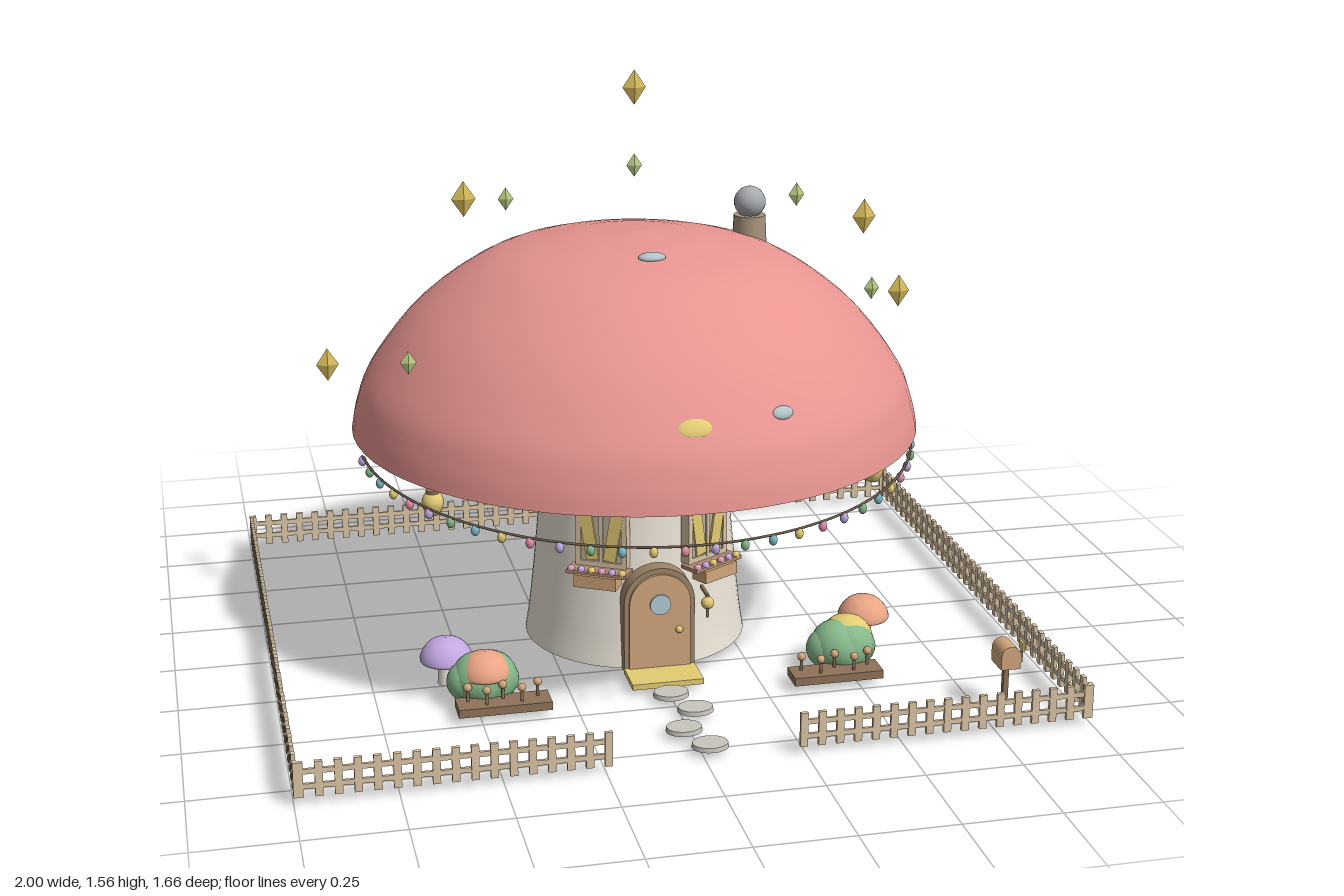
import * as THREE from 'three';

const mats = {};
const mat = (color) => (mats[color] ??= new THREE.MeshStandardMaterial({ color, side: THREE.DoubleSide }));
const WOOD = 0xd2a67c, PALE = 0xdcc6a6, CREAM = 0xece5d8, GOLD = 0xe3cc74, GREEN = 0x86b88a, ROSE = 0xe89591;
const ORANGE = 0xeaa585, LILAC = 0xc2a8e2, BROWN = 0x8f735a;

function add(parent, name, geo, color, x = 0, y = 0, z = 0) {
  const m = new THREE.Mesh(geo, mat(color));
  m.name = name;
  m.position.set(x, y, z);
  parent.add(m);
  return m;
}
function group(parent, name, x = 0, y = 0, z = 0, turn = 0) {
  const g = new THREE.Group();
  g.name = name;
  g.position.set(x, y, z);
  g.rotation.y = turn;
  parent.add(g);
  return g;
}
const box = (w, h, d) => new THREE.BoxGeometry(w, h, d);
const ball = (r) => new THREE.SphereGeometry(r, 20, 14);
const rod = (r, h, r2 = r) => new THREE.CylinderGeometry(r, r2, h, 20);
const lathe = (pts, seg = 64, smooth = 30) => new THREE.LatheGeometry(
  new THREE.SplineCurve(pts.map((p) => new THREE.Vector2(...p))).getPoints(smooth), seg);

// Upright slab with a round top, standing on y = 0
function arch(w, h, depth) {
  const r = w / 2, s = new THREE.Shape();
  s.moveTo(-r, 0);
  s.lineTo(r, 0);
  s.lineTo(r, h - r);
  s.absarc(0, h - r, r, 0, Math.PI, false);
  s.closePath();
  return new THREE.ExtrudeGeometry(s, { depth, bevelEnabled: false, curveSegments: 20 });
}

function addHouse(root) {
  add(root, 'stem', lathe([[0.3, 0.02], [0.288, 0.1], [0.272, 0.25], [0.258, 0.42], [0.256, 0.52], [0.264, 0.64]]), CREAM);
  add(root, 'roofCap', lathe([[0.755, 0.62], [0.74, 0.69], [0.7, 0.785], [0.575, 0.94], [0.39, 1.068],
    [0.2, 1.117], [0.1, 1.128], [0.001, 1.137]]), ROSE);
  const under = add(root, 'roofUnderside', new THREE.CircleGeometry(0.747, 64), CREAM, 0, 0.635, 0);
  under.rotation.x = Math.PI / 2;

  // Spots barely rising out of the cap
  [[0, 1.117, 0.21, 0.12, 0.036, 0xb4c4c8], [0.23, 0.82, 0.632, 0.95, 0.03, 0xb4c4c8], [0, 0.81, 0.675, 0.95, 0.046, GOLD]]
    .forEach(([x, y, z, tilt, r, color]) => {
      const g = group(root, 'capSpot', x, y, z, Math.atan2(x, z));
      const spot = add(g, 'spot', ball(1), color);
      spot.scale.set(r, 0.012, r * 0.6);
      spot.rotation.x = tilt;
    });

  add(root, 'chimney', rod(0.043, 0.1, 0.048), 0xa8947e, 0.347, 1.085, -0.122);
  add(root, 'smokePuff', ball(0.043), 0xa9adb0, 0.347, 1.17, -0.122);
}

function addDoor(root) {
  const door = group(root, 'door', 0, 0.02, 0.26);
  add(door, 'doorFrame', arch(0.19, 0.285, 0.05), 0x9c8569);
  add(door, 'doorPanel', arch(0.164, 0.27, 0.058), WOOD);
  add(door, 'doorWindow', rod(0.028, 0.008), 0xb4ccd4, 0, 0.188, 0.06).rotation.x = Math.PI / 2;
  add(door, 'doorKnob', ball(0.01), GOLD, 0.05, 0.115, 0.064);
  add(root, 'doorstep', box(0.19, 0.015, 0.11), GOLD, 0, 0.0225, 0.36);
  // Wall lamp beside the door
  add(root, 'lampArm', box(0.008, 0.008, 0.07), BROWN, 0.125, 0.225, 0.295);
  add(root, 'wallLamp', ball(0.017), GOLD, 0.125, 0.205, 0.328);
  add(root, 'lampDrop', rod(0.004, 0.03), BROWN, 0.125, 0.18, 0.328);
}

function addWindow(root, side) {
  const w = group(root, 'window', side * 0.137, 0.385, 0.237, side * Math.PI / 6);
  add(w, 'pane', box(0.115, 0.155, 0.02), 0xb9b19c);
  for (const s of [-1, 1]) {
    add(w, 'frameSide', box(0.014, 0.175, 0.03), PALE, s * 0.063);
    add(w, 'frameRail', box(0.14, 0.014, 0.03), PALE, 0, s * 0.08);
    const curtain = add(w, 'curtain', box(0.034, 0.14, 0.012), GOLD, s * 0.034, 0, 0.01);
    curtain.rotation.z = -s * 0.16;
  }
  add(w, 'mullion', box(0.01, 0.16, 0.032), PALE);
  add(w, 'sill', box(0.165, 0.01, 0.06), 0xb28b72, 0, -0.092, 0.028);
  add(w, 'flowerBox', box(0.115, 0.034, 0.05), WOOD, 0, -0.112, 0.042);
  for (let i = 0; i < 6; i++) {
    add(w, 'flower', ball(0.01), [0xe0a0b8, LILAC, GOLD][i % 3], -0.07 + i * 0.028, -0.085, 0.05);
  }
}

function addLights(root) {
  // String of bulbs round the front of the roof
  const R = 0.742;
  const at = (t) => {
    const a = THREE.MathUtils.degToRad(5 + 170 * t);
    return new THREE.Vector3(R * Math.cos(a), 0.592 - 0.055 * Math.sin(a), R * Math.sin(a));
  };
  const path = new THREE.CatmullRomCurve3(Array.from({ length: 25 }, (_, i) => at(i / 24)));
  add(root, 'lightString', new THREE.TubeGeometry(path, 72, 0.0035, 6), 0x6b5a4c);
  const colors = [0xe08fa8, GOLD, 0x7fb9c9, GREEN, LILAC];
  for (let i = 0; i < 30; i++) {
    const p = at(i / 29);
    add(root, 'bulb', new THREE.SphereGeometry(0.011, 10, 8), colors[i % 5], p.x, p.y - 0.013, p.z).scale.y = 1.3;
  }
  // Hanging lanterns
  for (const s of [-1, 1]) {
    const l = group(root, 'lantern', s * 0.585, 0.525, 0.278);
    add(l, 'lanternJar', lathe([[0.001, -0.033], [0.016, -0.031], [0.028, -0.005], [0.025, 0.015], [0.014, 0.03]], 20, 12), GOLD);
    add(l, 'lanternLid', rod(0.018, 0.008), BROWN, 0, 0.03);
    add(l, 'lanternCord', rod(0.003, 0.085), BROWN, 0, 0.07);
  }
}

function addToadstool(root, x, z, color) {
  const t = group(root, 'toadstool', x, 0.02, z);
  add(t, 'toadstoolStem', rod(0.02, 0.08, 0.024), CREAM, 0, 0.04);
  add(t, 'toadstoolCap', lathe([[0.001, 0.07], [0.045, 0.066], [0.068, 0.066], [0.062, 0.092], [0.038, 0.117], [0.001, 0.127]], 28, 24), color);
}

function addGarden(root) {
  for (const s of [-1, 1]) {
    const bush = group(root, 'bush', s * 0.48, 0.07, 0.37);
    [[-0.042, 0, 0.052], [0, 0.012, 0.062], [0.042, 0, 0.052], [-0.012, 0, 0.07], [0.02, 0, 0.07]].forEach(([x, z, r]) =>
      add(bush, 'bushLobe', ball(r), GREEN, x, r === 0.07 ? 0 : -0.005, z));
    // Planting bed with small sprouts
    const bed = group(root, 'flowerBed', s * 0.44, 0.02, 0.455);
    add(bed, 'bedBoard', box(0.24, 0.022, 0.075), BROWN, 0, 0.011);
    for (let i = 0; i < 5; i++) {
      const x = -0.09 + i * 0.045, z = i % 2 ? 0.015 : -0.012;
      add(bed, 'sprout', rod(0.004, 0.04), BROWN, x, 0.04, z);
      add(bed, 'sproutBud', ball(0.011), WOOD, x, 0.06, z);
    }
  }
  addToadstool(root, 0.5, 0.355, GOLD);
  addToadstool(root, 0.585, 0.235, ORANGE);
  addToadstool(root, -0.475, 0.38, ORANGE);
  addToadstool(root, -0.56, 0.27, LILAC);

  // Stepping stones
  [[0.022, 0.77], [-0.02, 0.67], [0.035, 0.565], [-0.005, 0.465]].forEach(([x, z]) =>
    add(root, 'steppingStone', rod(0.045, 0.012, 0.047), 0xc9c6bd, x, 0.022, z).scale.z = 0.8);

  // Letter box on a post
  const post = group(root, 'letterBox', 0.82, 0.02, 0.685);
  add(post, 'post', box(0.014, 0.11, 0.014), BROWN, 0, 0.055);
  add(post, 'letterBoxBody', arch(0.052, 0.062, 0.07), WOOD, 0, 0.1, -0.035);
  add(post, 'flagStick', box(0.005, 0.055, 0.005), BROWN, 0.029, 0.145, 0.03);
  add(post, 'flag', box(0.006, 0.022, 0.026), GOLD, 0.029, 0.162, 0.03);
}

// A fence run along x or z, between two ends
function addFence(root, x0, z0, x1, z1) {
  const len = Math.hypot(x1 - x0, z1 - z0);
  const f = group(root, 'fence', (x0 + x1) / 2, 0, (z0 + z1) / 2, x0 === x1 ? Math.PI / 2 : 0);
  for (const y of [0.047, 0.085]) add(f, 'fenceRail', box(len, 0.013, 0.007), PALE, 0, y);
  const n = Math.round(len / 0.047);
  for (let i = 0; i <= n; i++) {
    add(f, 'picket', box(0.019, 0.09, 0.01), PALE, (i / n - 0.5) * (len - 0.019), 0.065);
  }
}

function addSparkles(root) {
  const gem = new THREE.OctahedronGeometry(1);
  const place = (name, color, w, h, d, list) => list.forEach(([x, y, z]) =>
    add(root, name, gem, color, x, y, z).scale.set(w, h, d));
  place('largeSparkle', 0xd9bd5c, 0.031, 0.046, 0.013,
    [[0, 1.517, 0], [-0.473, 1.281, 0.16], [0.552, 1.203, 0.24], [0.79, 0.886, -0.155], [-0.79, 0.726, -0.315]]);
  place('smallSparkle', 0xb9cc84, 0.021, 0.031, 0.009,
    [[0, 1.312, 0], [-0.315, 1.202, -0.157], [0.395, 1.25, 0.157], [0.632, 0.965, 0.08], [-0.632, 0.886, 0.237]]);
}

export function createModel() {
  const root = new THREE.Group();
  root.name = 'mushroomCottage';
  addHouse(root);
  addDoor(root);
  for (const s of [-1, 1]) {
    addWindow(root, s);
    addFence(root, s * 0.235, 0.825, s * 0.995, 0.825);
    addFence(root, s * 0.995, -0.83, s * 0.995, 0.83);
  }
  addFence(root, -1, -0.825, 1, -0.825);
  addLights(root);
  addGarden(root);
  addSparkles(root);
  return root;
}
